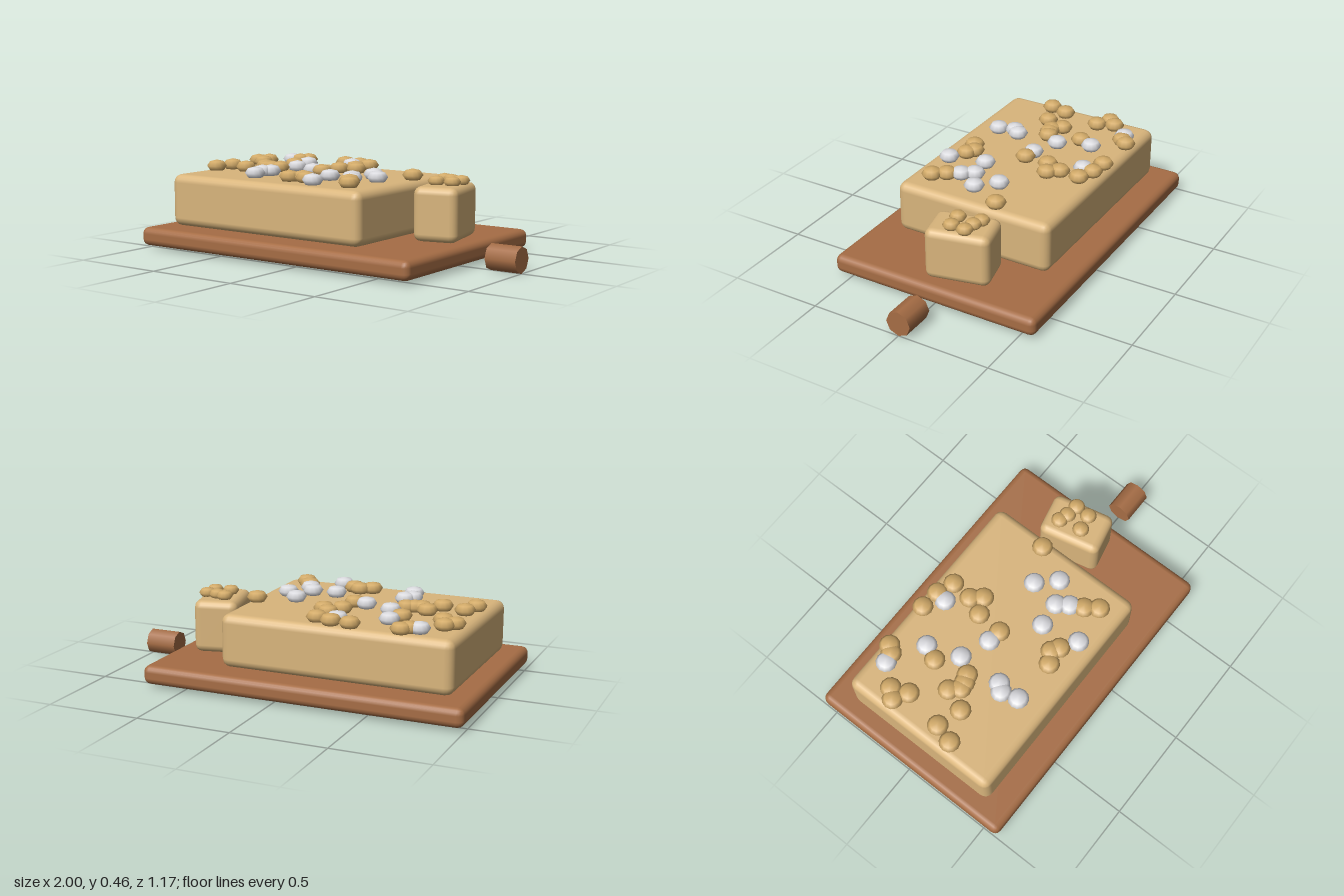
import * as THREE from 'three';
import { RoundedBoxGeometry } from 'three/addons/geometries/RoundedBoxGeometry.js';

const material = (name, color) => {
  const m = new THREE.MeshStandardMaterial({ color });
  m.name = name;
  return m;
};

export function createModel() {
  const wood = material('wood', 0xa66d45);
  const cake = material('cake', 0xd9b57c);
  const nut = material('nut', 0xd3ab69);
  const sugar = material('sugar', 0xdcdce0);
  const group = new THREE.Group();

  const add = (name, geometry, mat, x, y, z) => {
    const mesh = new THREE.Mesh(geometry, mat);
    mesh.name = name;
    mesh.position.set(x, y, z);
    group.add(mesh);
    return mesh;
  };

  // Board with a separate faceted peg handle
  add('board', new RoundedBoxGeometry(1.72, 0.1, 1.17, 2, 0.035), wood, -0.14, 0.07, 0);
  const peg = new THREE.CylinderGeometry(0.068, 0.068, 0.17, 8).rotateZ(Math.PI / 2);
  add('handle', peg, wood, 0.915, 0.07, 0);

  // Large block and the piece cut from it
  add('loaf', new RoundedBoxGeometry(1.24, 0.28, 0.895, 2, 0.045), cake, -0.28, 0.26, 0);
  add('cutPiece', new RoundedBoxGeometry(0.235, 0.28, 0.34, 2, 0.04), cake, 0.515, 0.26, -0.07)
    .rotation.y = 0.22;

  // Flattened toppings: x, z positions
  const scatter = (name, mat, radius, spots) => {
    const geometry = new THREE.SphereGeometry(radius, 12, 4).scale(1, 0.62, 1);
    for (const [x, z] of spots) add(name, geometry, mat, x, 0.39 + radius * 0.62, z);
  };
  scatter('nutTopping', nut, 0.055, [
    [-0.62, -0.4], [-0.65, -0.365], [-0.79, -0.25], [-0.83, -0.205], [-0.755, -0.16],
    [-0.54, -0.17], [-0.355, -0.4], [-0.25, -0.39], [-0.16, -0.355], [-0.17, -0.24],
    [-0.125, -0.185], [-0.21, -0.145], [0.285, -0.12], [-0.22, -0.005], [-0.62, -0.015],
    [-0.575, 0.03], [-0.54, 0.025], [-0.5, 0.01], [-0.665, 0.1], [-0.795, 0.06],
    [-0.825, 0.16], [-0.2, 0.3], [-0.14, 0.265], [-0.1, 0.29], [0.15, 0.255], [0.195, 0.32],
  ]);
  scatter('sugarTopping', sugar, 0.055, [
    [-0.7, -0.355], [-0.505, -0.25], [-0.26, -0.33], [-0.445, -0.075], [-0.29, -0.015],
    [0.1, -0.03], [0.19, 0.065], [-0.055, 0.145], [0.075, 0.13], [0.115, 0.19],
    [-0.435, 0.165], [-0.465, 0.2], [-0.44, 0.29], [-0.015, 0.345],
  ]);
  scatter('cutPieceNut', nut, 0.045, [
    [0.465, -0.145], [0.515, -0.13], [0.58, -0.12], [0.49, -0.025], [0.575, -0.04],
  ]);

  return group;
}
